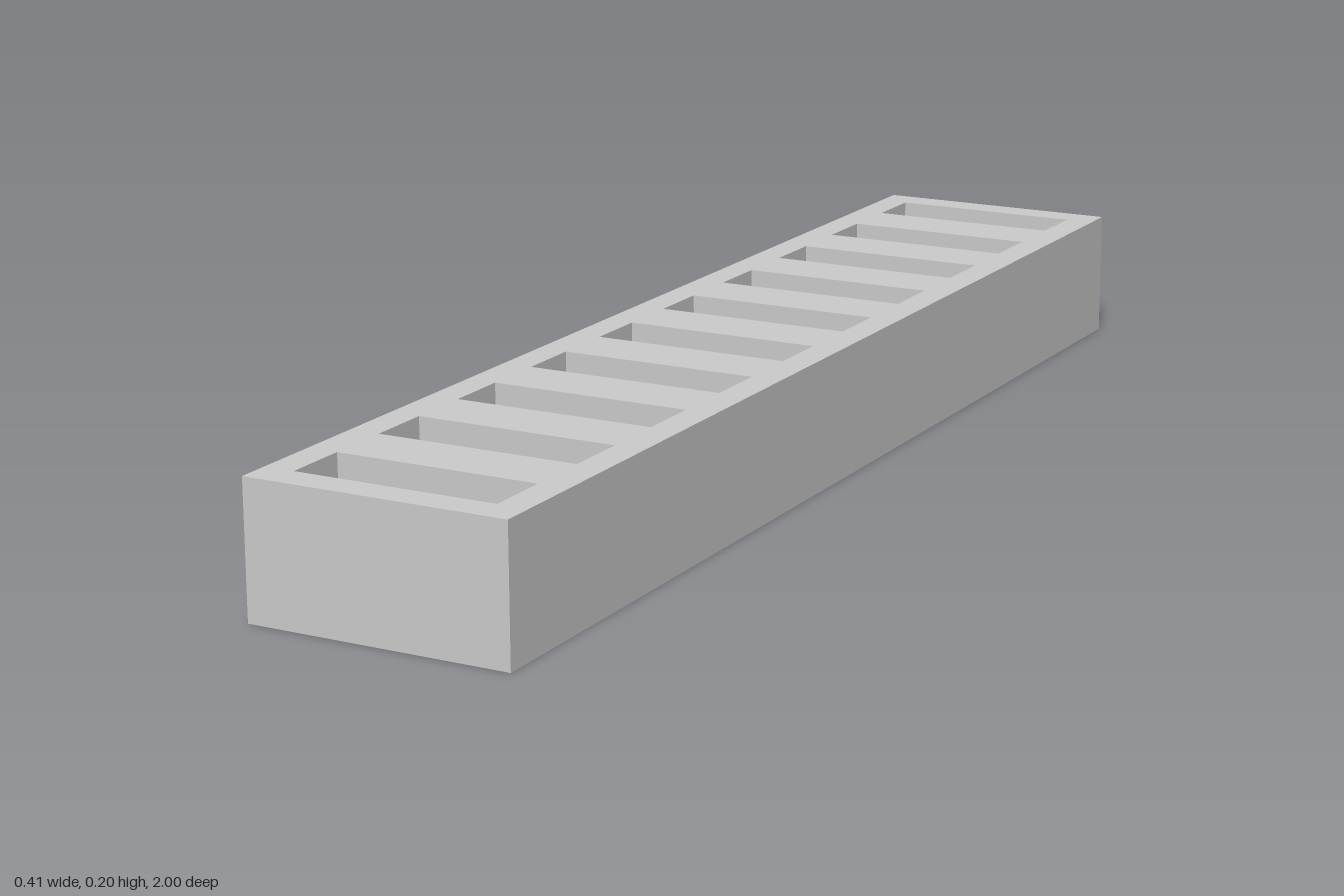
import * as THREE from 'three';

const W = 0.405, H = 0.203, L = 2;            // overall size
const HOLE_W = 0.312, HOLE_L = 0.1;           // slot opening
const COUNT = 10, PITCH = L / COUNT;

const material = new THREE.MeshStandardMaterial({
  color: 0xcccccc, flatShading: true, side: THREE.DoubleSide,
});

// Thin upright wall, centred at (x, z) and turned about y
function wall(name, width, x, z, turn) {
  const mesh = new THREE.Mesh(new THREE.PlaneGeometry(width, H), material);
  mesh.name = name;
  mesh.position.set(x, H / 2, z);
  mesh.rotation.y = turn;
  return mesh;
}

function rectangle(path, w, l, cy) {
  path.moveTo(-w / 2, cy - l / 2);
  path.lineTo(w / 2, cy - l / 2);
  path.lineTo(w / 2, cy + l / 2);
  path.lineTo(-w / 2, cy + l / 2);
  path.closePath();
  return path;
}

export function createModel() {
  const model = new THREE.Group();
  model.name = 'slottedBlock';
  const slotZ = Array.from({ length: COUNT }, (_, i) => (i + 0.5) * PITCH - L / 2);

  // Slotted top and bottom plates
  const outline = rectangle(new THREE.Shape(), W, L, 0);
  for (const z of slotZ) outline.holes.push(rectangle(new THREE.Path(), HOLE_W, HOLE_L, z));
  const plate = new THREE.ShapeGeometry(outline);
  const top = new THREE.Mesh(plate, material);
  top.name = 'topPlate';
  top.rotation.x = -Math.PI / 2;
  top.position.y = H;
  const bottom = new THREE.Mesh(plate, material);
  bottom.name = 'bottomPlate';
  bottom.rotation.x = Math.PI / 2;
  model.add(top, bottom);

  // End walls and one long side; the -x side is left open
  model.add(
    wall('frontWall', W, 0, L / 2, 0),
    wall('backWall', W, 0, -L / 2, Math.PI),
    wall('closedSide', L, W / 2, 0, Math.PI / 2),
  );

  // Rectangular shafts joining the slots of both plates, facing inward
  slotZ.forEach((z) => {
    const shaft = new THREE.Group();
    shaft.name = 'slotShaft';
    shaft.position.z = z;
    shaft.add(
      wall('shaftBack', HOLE_W, 0, -HOLE_L / 2, 0),
      wall('shaftFront', HOLE_W, 0, HOLE_L / 2, Math.PI),
      wall('shaftLeft', HOLE_L, HOLE_W / 2, 0, -Math.PI / 2),
      wall('shaftRight', HOLE_L, -HOLE_W / 2, 0, Math.PI / 2),
    );
    model.add(shaft);
  });

  return model;
}
